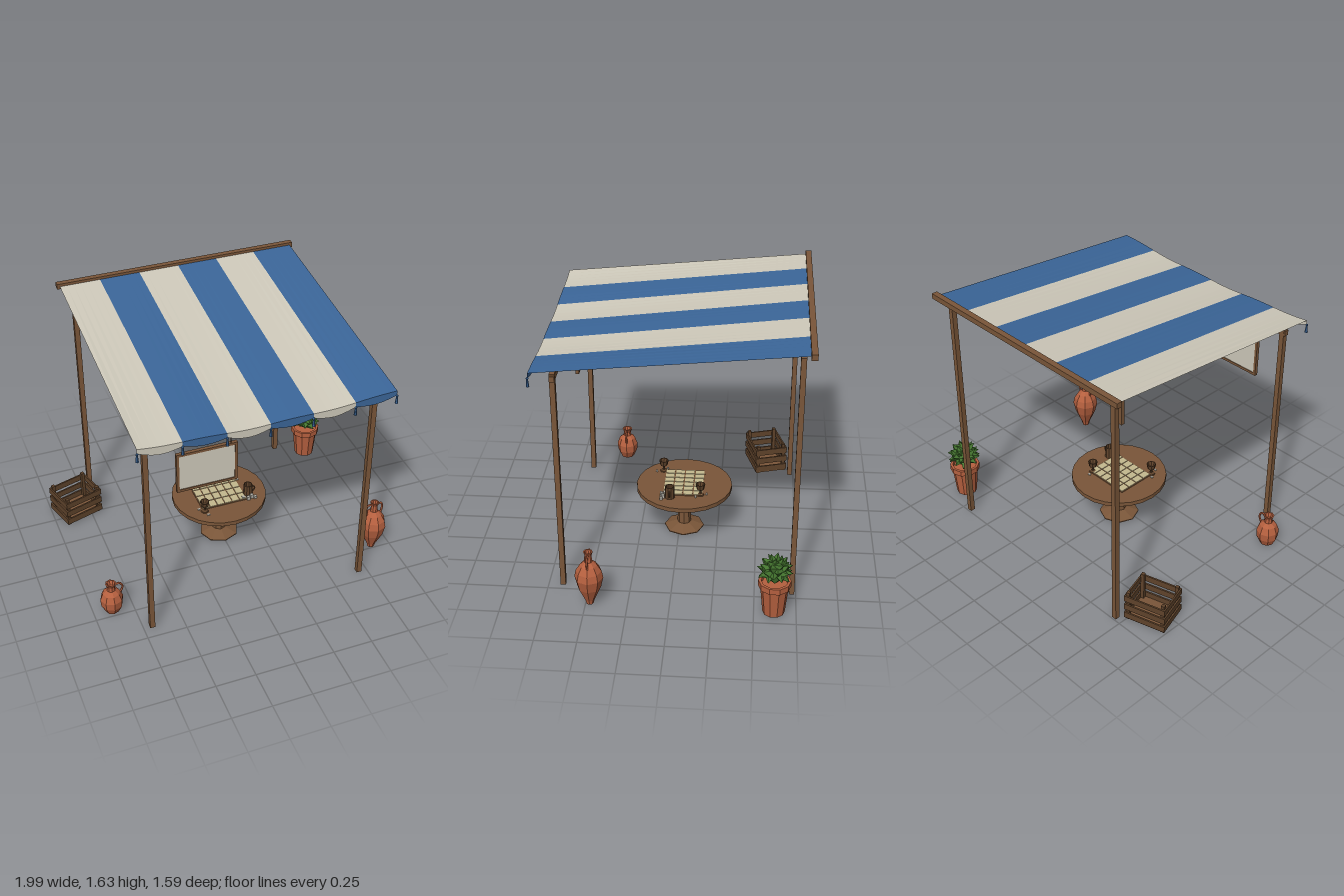
import * as THREE from 'three';

const paint = (name, color) => {
  const m = new THREE.MeshStandardMaterial({ color });
  m.name = name;
  return m;
};

export function createModel() {
  const model = new THREE.Group();
  const wood = paint('wood', 0x7a5639), darkWood = paint('darkWood', 0x5f432b);
  const cream = paint('cream', 0xcfcabb), blue = paint('blue', 0x3b6699);
  const clay = paint('clay', 0xb5603f), leaf = paint('leaf', 0x44752f);
  const tile = paint('tile', 0xc4b98f), grey = paint('grey', 0xb4b1a8);
  cream.side = blue.side = THREE.DoubleSide;

  // Helpers: faceted mesh, box, lathe, cylinder
  const add = (parent, name, geo, mat, x = 0, y = 0, z = 0) => {
    const g = geo.index ? geo.toNonIndexed() : geo;
    g.computeVertexNormals();
    const mesh = new THREE.Mesh(g, mat);
    mesh.name = name;
    mesh.position.set(x, y, z);
    parent.add(mesh);
    return mesh;
  };
  const box = (parent, name, mat, w, h, d, x, y, z) =>
    add(parent, name, new THREE.BoxGeometry(w, h, d), mat, x, y, z);
  const lathe = (parent, name, mat, sides, pts, x = 0, y = 0, z = 0) =>
    add(parent, name, new THREE.LatheGeometry(pts.map(p => new THREE.Vector2(...p)), sides), mat, x, y, z);
  const cyl = (parent, name, mat, top, bottom, h, sides, x, y, z) =>
    add(parent, name, new THREE.CylinderGeometry(top, bottom, h, sides), mat, x, y, z);
  const group = (name, x = 0, y = 0, z = 0) => {
    const g = new THREE.Group();
    g.name = name;
    g.position.set(x, y, z);
    model.add(g);
    return g;
  };

  // Posts and beams
  const frame = group('frame');
  for (const s of [-1, 1]) {
    box(frame, 'frontPost', wood, 0.032, 1.43, 0.032, s * 0.695, 0.715, 0.662);
    box(frame, 'backPost', wood, 0.032, 1.575, 0.032, s * 0.695, 0.7875, -0.725);
  }
  box(frame, 'frontBeam', wood, 1.44, 0.034, 0.03, 0, 1.403, 0.662);
  box(frame, 'backBeam', wood, 1.575, 0.034, 0.036, 0, 1.617, -0.779);

  // Striped canopy: sagging front edge, scalloped valance, tassels
  const canopy = group('canopy');
  const W = 0.77, stripes = 6, steps = 6;
  const edgeY = x => 1.462 - 0.032 * (1 - (x / W) ** 2) + 0.004 * Math.sin((x / W) * Math.PI * 3);
  const dropY = (x, t) => edgeY(x) - 0.03 - 0.024 * Math.sin(Math.PI * t);
  const strip = (name, mat, upper, lower, x0) => {
    const pos = [], idx = [];
    for (let i = 0; i <= steps; i++) {
      const t = i / steps, x = x0 + t * (2 * W / stripes);
      pos.push(...upper(x, t), ...lower(x, t));
      if (i < steps) {
        const a = i * 2;
        idx.push(a, a + 1, a + 2, a + 2, a + 1, a + 3);
      }
    }
    const g = new THREE.BufferGeometry();
    g.setAttribute('position', new THREE.Float32BufferAttribute(pos, 3));
    g.setIndex(idx);
    add(canopy, name, g, mat);
  };
  for (let s = 0; s < stripes; s++) {
    const x0 = -W + s * 2 * W / stripes, mat = s % 2 ? blue : cream;
    strip('canopyStripe', mat, x => [x, 1.618, -0.77], x => [x, edgeY(x), 0.785], x0);
    strip('valance', mat, x => [x, edgeY(x), 0.785], (x, t) => [x, dropY(x, t), 0.785], x0);
  }
  for (let i = 0; i <= stripes; i++) {
    const x = -W + i * 2 * W / stripes, y = edgeY(x) - 0.022;
    cyl(canopy, 'tassel', blue, 0.005, 0.01, 0.046, 6, x, y - 0.037, 0.787);
    add(canopy, 'tasselKnot', new THREE.OctahedronGeometry(0.01), blue, x, y - 0.01, 0.787);
  }

  // Hanging sign board
  const sign = group('sign', -0.332, 1.137, 0.662);
  box(sign, 'signPanel', cream, 0.34, 0.24, 0.012, 0, 0, 0);
  for (const s of [-1, 1]) {
    box(sign, 'signRail', wood, 0.365, 0.016, 0.022, 0, s * 0.124, 0);
    box(sign, 'signStile', wood, 0.016, 0.264, 0.022, s * 0.1745, 0, 0);
    cyl(sign, 'signCord', darkWood, 0.0025, 0.0025, 0.13, 5, s * 0.145, 0.19, 0);
  }

  // Round pedestal table
  const table = group('table', 0, 0, -0.03);
  cyl(table, 'tableTop', wood, 0.307, 0.307, 0.028, 24, 0, 0.303, 0);
  cyl(table, 'tableColumn', wood, 0.035, 0.045, 0.26, 8, 0, 0.16, 0);
  cyl(table, 'tableFoot', wood, 0.05, 0.128, 0.03, 8, 0, 0.021, 0);
  cyl(table, 'tableFootLip', wood, 0.128, 0.128, 0.006, 8, 0, 0.003, 0);

  // Tiled game board on the table
  const board = group('gameBoard', -0.005, 0.317, -0.028);
  box(board, 'boardBase', wood, 0.31, 0.004, 0.26, 0, 0.002, 0);
  for (let i = 0; i < 6; i++)
    for (let j = 0; j < 4; j++)
      box(board, 'boardTile', tile, 0.044, 0.004, 0.056, (i - 2.5) * 0.051, 0.006, (j - 1.5) * 0.064);

  // Goblets, mug and playing pieces
  const ware = group('tableware', 0, 0.317, 0);
  for (const [x, z] of [[-0.15, 0.115], [0.13, -0.14]])
    lathe(ware, 'goblet', darkWood, 8, [[0, 0], [0.025, 0], [0.022, 0.006], [0.007, 0.012], [0.007, 0.033],
      [0.024, 0.045], [0.031, 0.08], [0.026, 0.08], [0.018, 0.052], [0, 0.048]], x, 0, z);
  lathe(ware, 'mug', darkWood, 10, [[0, 0], [0.032, 0], [0.029, 0.08], [0.024, 0.08], [0.024, 0.02], [0, 0.02]], 0.172, 0, 0.052);
  const mugHandle = add(ware, 'mugHandle', new THREE.TorusGeometry(0.018, 0.005, 5, 8, Math.PI), darkWood, 0.201, 0.04, 0.052);
  mugHandle.rotation.z = -Math.PI / 2;
  for (const [x, z, h] of [[0.13, 0.085, 0.014], [0.155, 0.105, 0.024], [0.182, 0.095, 0.026], [0.202, 0.105, 0.016]])
    box(ware, 'playingPiece', grey, 0.02, h, 0.02, x, h / 2, z);
  for (const [x, z] of [[-0.18, 0.09], [-0.14, 0.16], [0.12, -0.18], [0.16, -0.11]])
    box(ware, 'flatPiece', grey, 0.018, 0.006, 0.012, x, 0.003, z);

  // Slatted crate
  const crate = group('crate', -0.836, 0, -0.555);
  crate.rotation.y = 0.295;
  box(crate, 'crateFloor', wood, 0.262, 0.012, 0.21, 0, 0.012, 0);
  for (const s of [-1, 1]) {
    for (const t of [-1, 1])
      box(crate, 'cratePost', darkWood, 0.022, 0.208, 0.022, s * 0.115, 0.104, t * 0.09);
    for (const y of [0.035, 0.1, 0.165]) {
      box(crate, 'longSlat', darkWood, 0.27, 0.042, 0.01, 0, y, s * 0.106);
      box(crate, 'shortSlat', darkWood, 0.01, 0.042, 0.202, s * 0.13, y, 0);
    }
  }

  // Curved vessel handle in the x/y plane
  const handle = (parent, pts, s) => {
    const path = new THREE.CatmullRomCurve3(pts.map(([x, y]) => new THREE.Vector3(x * s, y, 0)));
    add(parent, 'handle', new THREE.TubeGeometry(path, 8, 0.007, 5), clay);
  };

  // Round jug with one handle
  const jug = group('jug', -0.88, 0, 0.44);
  lathe(jug, 'jugBody', clay, 8, [[0, 0], [0.045, 0], [0.068, 0.05], [0.072, 0.1], [0.055, 0.145], [0.027, 0.168],
    [0.025, 0.195], [0.035, 0.218], [0.026, 0.218], [0.018, 0.19], [0, 0.18]]);
  handle(jug, [[0.025, 0.2], [0.055, 0.205], [0.073, 0.175], [0.058, 0.13]], 1);

  // Tall pointed amphora with two handles
  const amphora = group('amphora', 0.877, 0, 0.475);
  lathe(amphora, 'amphoraBody', clay, 8, [[0, 0], [0.022, 0], [0.03, 0.03], [0.07, 0.12], [0.086, 0.19], [0.077, 0.235],
    [0.052, 0.275], [0.024, 0.3], [0.021, 0.345], [0.029, 0.368], [0.021, 0.368], [0.015, 0.34], [0, 0.33]]);
  for (const s of [-1, 1]) handle(amphora, [[0.02, 0.35], [0.045, 0.352], [0.056, 0.32], [0.048, 0.272]], s);

  // Potted plant
  const plant = group('pottedPlant', 0.88, 0, -0.617);
  lathe(plant, 'pot', clay, 10, [[0, 0], [0.066, 0], [0.084, 0.18], [0.097, 0.184], [0.097, 0.222],
    [0.08, 0.222], [0.078, 0.2], [0, 0.2]]);
  let seed = 7;
  const rand = () => (seed = (seed * 16807) % 2147483647) / 2147483647;
  add(plant, 'foliageCore', new THREE.IcosahedronGeometry(0.075, 0), leaf, 0, 0.29, 0);
  for (let i = 0; i < 34; i++) {
    const h = 1 - 1.45 * (i + 0.5) / 34, a = i * 2.4, r = Math.sqrt(1 - h * h);
    const dir = new THREE.Vector3(Math.cos(a) * r, h, Math.sin(a) * r);
    const m = add(plant, 'leafTuft', new THREE.ConeGeometry(0.03 + rand() * 0.008, 0.062, 4), leaf,
      dir.x * 0.078, 0.292 + dir.y * 0.074, dir.z * 0.078);
    dir.x += rand() * 0.8 - 0.4;
    dir.z += rand() * 0.8 - 0.4;
    m.quaternion.setFromUnitVectors(new THREE.Vector3(0, 1, 0), dir.normalize());
  }
  return model;
}
